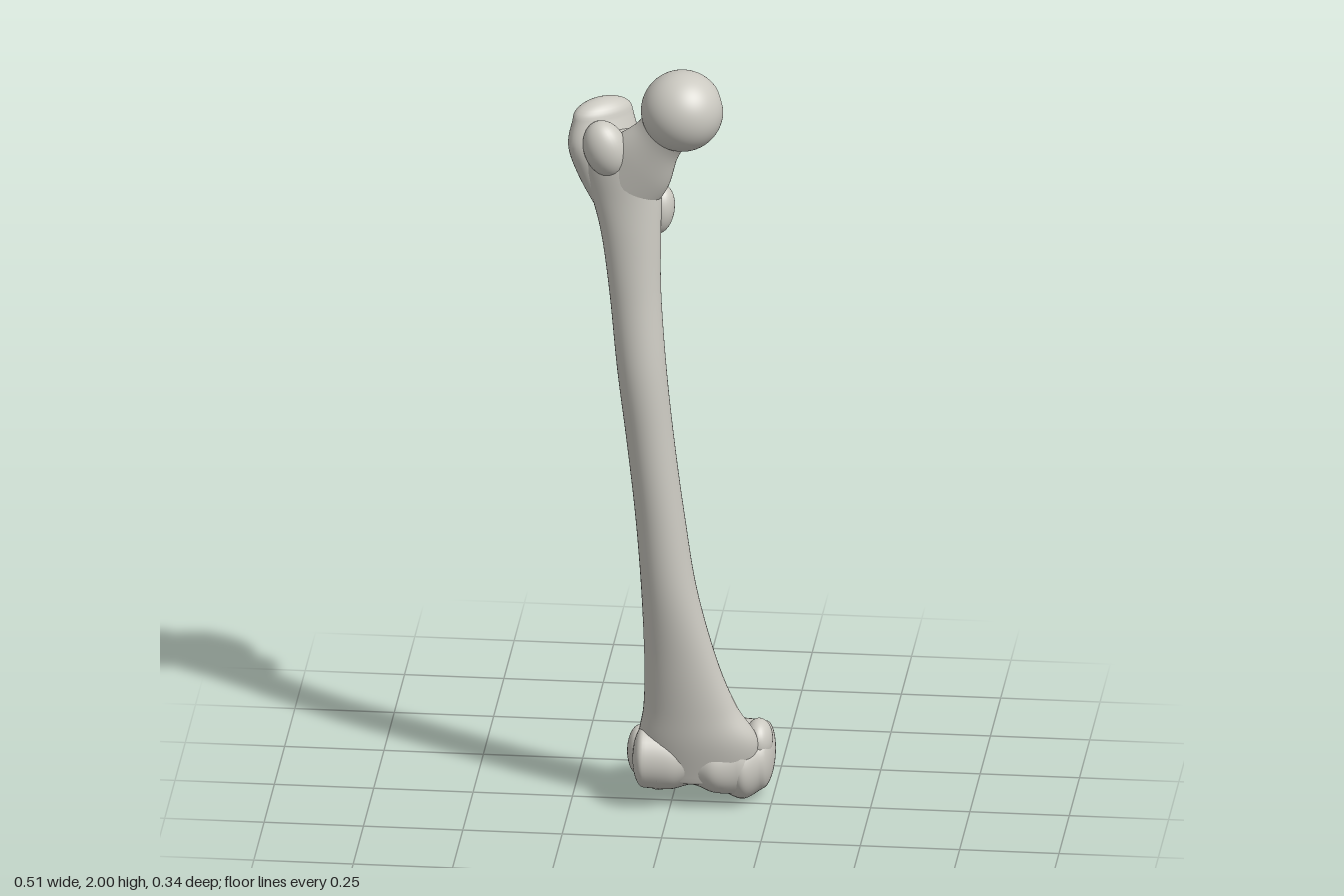
import * as THREE from 'three';
import { mergeVertices } from 'three/addons/utils/BufferGeometryUtils.js';

const bone = new THREE.MeshStandardMaterial({ color: 0xcbc9c1 });
bone.name = 'bone';
const X = new THREE.Vector3(1, 0, 0), Y = new THREE.Vector3(0, 1, 0), Z = new THREE.Vector3(0, 0, 1);

// Smooth loft through elliptical sections [x, y, z, radiusU, radiusV], domed at both ends
function loft(u, v, rows, capStart, capEnd, sides = 40, perSpan = 8) {
  const path = new THREE.CatmullRomCurve3(rows.map(r => new THREE.Vector3(r[0], r[1], r[2])), false, 'catmullrom');
  const size = new THREE.CatmullRomCurve3(rows.map(r => new THREE.Vector3(r[3], r[4], 0)), false, 'catmullrom');
  const steps = (rows.length - 1) * perSpan, dome = 8, rings = [];
  const addDome = (t, length, k) => {
    const a = (k / dome) * Math.PI / 2;
    const centre = path.getPoint(t).addScaledVector(path.getTangent(t), length * Math.sin(a));
    rings.push([centre, size.getPoint(t).multiplyScalar(Math.max(Math.cos(a), 0.001))]);
  };
  for (let k = dome; k > 0; k--) addDome(0, -capStart, k);
  for (let i = 0; i <= steps; i++) rings.push([path.getPoint(i / steps), size.getPoint(i / steps)]);
  for (let k = 1; k <= dome; k++) addDome(1, capEnd, k);

  const position = [], index = [];
  const direction = rings[rings.length - 1][0].clone().sub(rings[0][0]);
  const outward = u.clone().cross(v).dot(direction) > 0;
  rings.forEach(([c, r], i) => {
    for (let j = 0; j < sides; j++) {
      const a = (j / sides) * Math.PI * 2;
      const p = c.clone().addScaledVector(u, r.x * Math.cos(a)).addScaledVector(v, r.y * Math.sin(a));
      position.push(p.x, p.y, p.z);
      if (i === 0) continue;
      const n = (j + 1) % sides, lo = (i - 1) * sides, hi = i * sides;
      if (outward) index.push(lo + j, lo + n, hi + j, lo + n, hi + n, hi + j);
      else index.push(lo + j, hi + j, lo + n, lo + n, hi + j, hi + n);
    }
  });
  const g = new THREE.BufferGeometry();
  g.setAttribute('position', new THREE.Float32BufferAttribute(position, 3));
  g.setIndex(index);
  g.computeVertexNormals();
  return g;
}

// Ball with a small pit on its inner side
function headGeometry(radius) {
  let g = new THREE.IcosahedronGeometry(radius, 24);
  g.deleteAttribute('normal');
  g.deleteAttribute('uv');
  g = mergeVertices(g, 1e-5);
  const pit = new THREE.Vector3(0.93, 0.22, -0.28).normalize(), p = new THREE.Vector3();
  const pos = g.attributes.position;
  for (let i = 0; i < pos.count; i++) {
    p.fromBufferAttribute(pos, i);
    const angle = p.angleTo(pit);
    p.multiplyScalar(1 - 0.09 * Math.exp(-Math.pow(angle / 0.16, 2)));
    pos.setXYZ(i, p.x, p.y, p.z);
  }
  g.computeVertexNormals();
  return g;
}

export function createModel() {
  const model = new THREE.Group();
  model.name = 'thighBone';
  const add = (name, geometry) => {
    const m = new THREE.Mesh(geometry, bone);
    m.name = name;
    model.add(m);
    return m;
  };
  const bump = (name, x, y, z, rx, ry, rz, tilt = 0) => {
    const m = add(name, new THREE.SphereGeometry(1, 32, 24));
    m.position.set(x, y, z);
    m.scale.set(rx, ry, rz);
    m.rotation.z = tilt;
  };

  // Bowed shaft, flaring at both ends
  add('shaft', loft(X, Z, [
    [0.065, 0.08, 0.0, 0.14, 0.07],
    [0.068, 0.18, 0.015, 0.15, 0.075],
    [0.05, 0.27, 0.03, 0.118, 0.068],
    [0.028, 0.4, 0.048, 0.092, 0.062],
    [0.0, 0.6, 0.065, 0.07, 0.064],
    [-0.022, 0.8, 0.072, 0.062, 0.063],
    [-0.045, 1.0, 0.077, 0.06, 0.062],
    [-0.067, 1.2, 0.08, 0.062, 0.06],
    [-0.085, 1.4, 0.065, 0.065, 0.055],
    [-0.097, 1.55, 0.05, 0.075, 0.055],
    [-0.11, 1.65, 0.04, 0.088, 0.056],
    [-0.13, 1.75, 0.033, 0.1, 0.06],
    [-0.14, 1.8, 0.03, 0.09, 0.055],
  ], 0.02, 0.02));

  // Rough ridge down the back of the shaft
  add('backRidge', loft(X, Z, [
    [0.02, 0.42, 0.0, 0.03, 0.008],
    [-0.002, 0.6, 0.011, 0.026, 0.014],
    [-0.024, 0.8, 0.018, 0.022, 0.015],
    [-0.047, 1.0, 0.022, 0.022, 0.015],
    [-0.07, 1.2, 0.027, 0.024, 0.015],
    [-0.095, 1.4, 0.016, 0.028, 0.014],
    [-0.12, 1.6, -0.004, 0.03, 0.014],
  ], 0.05, 0.05, 24));

  // Upper end: head, neck and trochanters
  add('head', headGeometry(0.103)).position.set(0.033, 1.897, 0.067);
  add('neck', loft(new THREE.Vector3(0.75, -0.66, 0), Z, [
    [-0.13, 1.66, 0.035, 0.095, 0.055],
    [-0.075, 1.74, 0.045, 0.093, 0.058],
    [-0.03, 1.81, 0.058, 0.068, 0.054],
    [0.0, 1.855, 0.065, 0.068, 0.06],
    [0.025, 1.885, 0.067, 0.075, 0.07],
  ], 0.03, 0.02));
  add('greaterTrochanter', loft(new THREE.Vector3(0.77, 0, -0.64), new THREE.Vector3(0.64, 0, 0.77), [
    [-0.135, 1.6, 0.015, 0.05, 0.04],
    [-0.158, 1.7, 0.0, 0.085, 0.055],
    [-0.172, 1.78, -0.005, 0.099, 0.06],
    [-0.175, 1.85, -0.012, 0.085, 0.043],
  ], 0.05, 0.04));
  bump('trochanterFrontBump', -0.16, 1.785, 0.065, 0.055, 0.075, 0.05, 0.3);
  bump('lesserTrochanter', -0.03, 1.6, 0.0, 0.037, 0.065, 0.045, -0.15);
  add('trochanterCrest', loft(new THREE.Vector3(0.8, 0.6, 0), Z, [
    [-0.13, 1.78, -0.045, 0.032, 0.03],
    [-0.08, 1.69, -0.018, 0.024, 0.026],
    [-0.035, 1.62, -0.005, 0.026, 0.028],
  ], 0.03, 0.03, 24));

  // Lower end: two rounded condyles joined by a grooved front surface
  add('leftCondyle', loft(Z, Y, [
    [0.13, 0.105, -0.06, 0.1, 0.092],
    [0.18, 0.1, -0.055, 0.118, 0.098],
    [0.225, 0.11, -0.06, 0.09, 0.085],
  ], 0.02, 0.03));
  add('rightCondyle', loft(Z, Y, [
    [-0.07, 0.115, -0.035, 0.1, 0.08],
    [-0.03, 0.113, -0.036, 0.128, 0.085],
    [0.005, 0.115, -0.045, 0.11, 0.08],
  ], 0.03, 0.02));
  add('kneecapGroove', loft(Z, Y, [
    [-0.065, 0.13, 0.03, 0.07, 0.08],
    [0.0, 0.125, 0.015, 0.075, 0.082],
    [0.055, 0.12, 0.0, 0.073, 0.068],
    [0.11, 0.115, 0.005, 0.08, 0.08],
    [0.17, 0.115, 0.0, 0.065, 0.085],
  ], 0.03, 0.04));
  bump('rightEpicondyle', -0.08, 0.135, 0.0, 0.032, 0.065, 0.055);
  bump('leftEpicondyle', 0.215, 0.16, -0.035, 0.036, 0.055, 0.055);
  return model;
}
